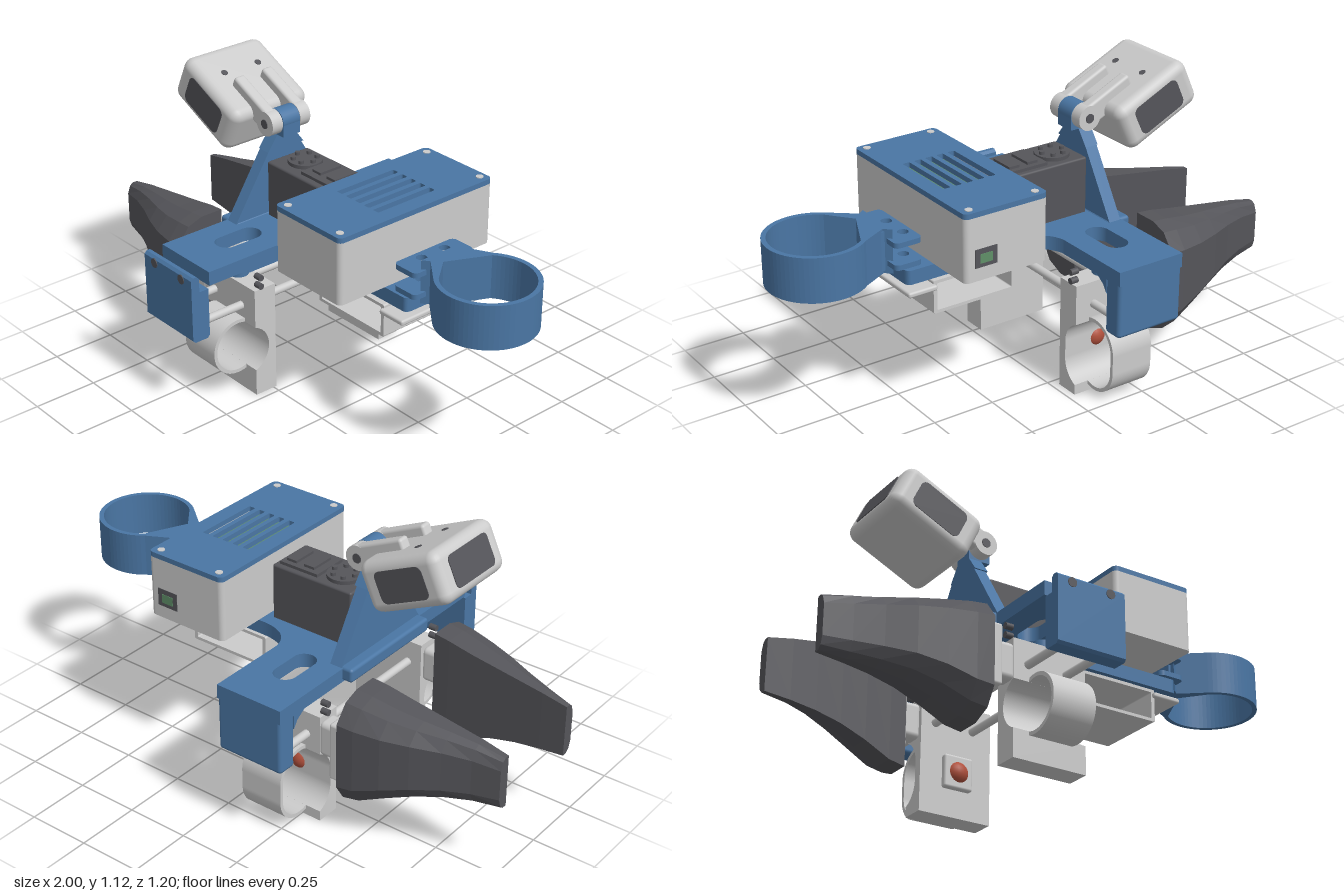
import * as THREE from 'three';
import { RoundedBoxGeometry } from 'three/addons/geometries/RoundedBoxGeometry.js';

const mat = (color) => new THREE.MeshStandardMaterial({ color });
const grey = mat(0xcccccc), blue = mat(0x4a76a4), dark = mat(0x55555a), green = mat(0x5f8f68), red = mat(0xb0503c);
const MID = -0.023; // mirror plane of the paired parts

function add(parent, name, geo, material) {
  const m = new THREE.Mesh(geo, material);
  m.name = name;
  parent.add(m);
  return m;
}
// Box given by its limits; r rounds the edges
function box(parent, name, material, [x0, x1], [y0, y1], [z0, z1], r = 0) {
  const s = [x1 - x0, y1 - y0, z1 - z0];
  const g = r ? new RoundedBoxGeometry(...s, 3, r) : new THREE.BoxGeometry(...s);
  g.translate((x0 + x1) / 2, (y0 + y1) / 2, (z0 + z1) / 2);
  return add(parent, name, g, material);
}
function cyl(parent, name, material, r, len, axis, x, y, z) {
  const g = new THREE.CylinderGeometry(r, r, len, 28);
  if (axis === 'x') g.rotateZ(Math.PI / 2);
  if (axis === 'z') g.rotateX(Math.PI / 2);
  g.translate(x, y, z);
  return add(parent, name, g, material);
}
const solid = (shape, depth) => new THREE.ExtrudeGeometry(shape, { depth, bevelEnabled: false, curveSegments: 24 });
// Outline in x,z raised from y0 to y1
const slab = (shape, y0, y1) => solid(shape, y1 - y0).rotateX(Math.PI / 2).translate(0, y1, 0);
// Outline in z,y stretched from x0 to x1
const across = (shape, x0, x1) => solid(shape, x1 - x0).rotateY(-Math.PI / 2).translate(x1, 0, 0);
const poly = (pts) => new THREE.Shape(pts.map((p) => new THREE.Vector2(...p)));

// Rounded rectangle; with r at half the width it is a slot
function rrect(x0, x1, y0, y1, r, T = THREE.Shape) {
  const s = new T(), h = Math.PI / 2;
  s.absarc(x1 - r, y1 - r, r, 0, h);
  s.absarc(x0 + r, y1 - r, r, h, 2 * h);
  s.absarc(x0 + r, y0 + r, r, 2 * h, 3 * h);
  s.absarc(x1 - r, y0 + r, r, 3 * h, 4 * h);
  s.closePath();
  return s;
}

function frame(g) {
  // T-shaped deck with two slots
  const s = new THREE.Shape();
  s.moveTo(-0.33, -0.6);
  s.lineTo(-0.05, -0.6);
  s.lineTo(-0.05, -0.27);
  s.quadraticCurveTo(-0.03, -0.17, 0.1, -0.17);
  s.lineTo(0.53, -0.17);
  s.quadraticCurveTo(0.55, -0.17, 0.55, -0.14);
  s.lineTo(0.55, 0.09);
  s.quadraticCurveTo(0.55, 0.12, 0.53, 0.12);
  s.lineTo(0.1, 0.12);
  s.quadraticCurveTo(-0.03, 0.12, -0.05, 0.22);
  s.lineTo(-0.05, 0.52);
  s.lineTo(-0.33, 0.52);
  s.holes.push(rrect(-0.235, -0.145, -0.44, -0.245, 0.044, THREE.Path), rrect(-0.235, -0.145, 0.18, 0.375, 0.044, THREE.Path));
  add(g, 'deck', slab(s, 0.535, 0.59), blue);
  box(g, 'mastFoot', blue, [-0.37, -0.27], [0.54, 0.595], [-0.25, 0.22], 0.012);
  // End blocks that hold the rods
  box(g, 'backEndBlock', blue, [-0.33, -0.05], [0.325, 0.59], [-0.6, -0.52], 0.015);
  add(g, 'endFillet', across(poly([[-0.525, 0.54], [-0.525, 0.48], [-0.505, 0.51], [-0.46, 0.54]]), -0.33, -0.05), blue);
  add(g, 'frontEndBlock', across(poly([[0.525, 0.335], [0.535, 0.325], [0.59, 0.325], [0.6, 0.335], [0.6, 0.58],
    [0.59, 0.59], [0.575, 0.59], [0.565, 0.58], [0.565, 0.525], [0.525, 0.525]]), -0.33, -0.05), blue);
  for (const x of [-0.27, -0.11]) {
    cyl(g, 'rod', grey, 0.016, 1.06, 'z', x, 0.36, 0);
    cyl(g, 'blockScrew', dark, 0.018, 0.005, 'z', x, 0.565, 0.6);
  }
  // Mast with its hinge knuckle
  add(g, 'mast', across(poly([[0.22, 0.59], [0.02, 0.9], [0.02, 0.96], [-0.06, 0.96], [-0.06, 0.9], [-0.25, 0.59]]), -0.325, -0.275), blue);
  box(g, 'mastHead', blue, [-0.325, -0.235], [0.9, 0.96], [-0.06, 0.02]);
  add(g, 'mastFlare', across(poly([[0.065, 0.84], [0.02, 0.9], [-0.06, 0.9], [-0.105, 0.84]]), -0.325, -0.27), blue);
  cyl(g, 'knuckle', blue, 0.046, 0.08, 'z', -0.28, 0.955, -0.02);
}

function camera(g) {
  const c = new THREE.Group();
  c.name = 'camera';
  c.position.set(-0.535, 0.972, -0.02);
  c.rotation.z = -0.436;
  g.add(c);
  box(c, 'cameraBody', grey, [-0.175, 0.175], [-0.097, 0.097], [-0.18, 0.18], 0.04);
  add(c, 'sideWindow', solid(rrect(-0.105, 0.105, -0.06, 0.06, 0.025), 0.364).translate(0, 0, -0.182), dark);
  add(c, 'frontWindow', across(rrect(-0.115, 0.115, -0.06, 0.06, 0.02), -0.178, -0.16), dark);
  for (const s of [-1, 1]) {
    const z = s * 0.066;
    box(c, 'hingeArm', grey, [0.02, 0.237], [0.05, 0.135], [z - 0.024, z + 0.024], 0.012);
    cyl(c, 'hingeEar', grey, 0.048, 0.048, 'z', 0.237, 0.09, z);
    cyl(c, 'cameraScrew', dark, 0.013, 0.006, 'y', -0.04, 0.096, s * 0.08);
  }
  cyl(c, 'hingePin', dark, 0.018, 0.186, 'z', 0.237, 0.09, 0);
}

function servo(g) {
  box(g, 'servoBody', dark, [-0.265, 0.09], [0.5, 0.81], [-0.12, 0.075], 0.008);
  cyl(g, 'servoDisc', dark, 0.066, 0.018, 'y', -0.17, 0.815, -0.03);
  for (let i = 0; i < 6; i++) {
    const a = i * Math.PI / 3;
    cyl(g, 'discScrew', dark, 0.01, 0.012, 'y', -0.17 + 0.045 * Math.cos(a), 0.83, -0.03 + 0.045 * Math.sin(a));
  }
  box(g, 'servoCover', dark, [-0.1, 0.07], [0.8, 0.822], [-0.1, 0.05]);
  for (const x of [-0.07, 0.01]) box(g, 'coverRib', dark, [x, x + 0.045], [0.82, 0.832], [-0.08, 0.02]);
  // Drive plate and links under the deck
  cyl(g, 'drivePlate', grey, 0.11, 0.02, 'y', -0.18, 0.485, MID);
}

function electronics(g) {
  const body = rrect(0.105, 0.45, -0.385, 0.34, 0.02);
  body.holes.push(rrect(0.125, 0.43, -0.365, 0.32, 0.015, THREE.Path));
  add(g, 'caseWalls', slab(body, 0.6, 0.84), grey);
  box(g, 'caseFloor', grey, [0.12, 0.435], [0.6, 0.62], [-0.37, 0.325]);
  box(g, 'circuitBoard', green, [0.125, 0.43], [0.79, 0.8], [-0.365, 0.32]);
  const lid = rrect(0.105, 0.45, -0.385, 0.34, 0.02);
  for (let i = 0; i < 5; i++) {
    const x = 0.183 + i * 0.0475;
    lid.holes.push(rrect(x - 0.014, x + 0.014, -0.16, 0.11, 0.006, THREE.Path));
  }
  add(g, 'caseLid', slab(lid, 0.84, 0.86), blue);
  for (const x of [0.14, 0.415]) for (const z of [-0.355, 0.31]) cyl(g, 'lidScrew', grey, 0.014, 0.004, 'y', x, 0.861, z);
  box(g, 'port', dark, [0.32, 0.41], [0.65, 0.72], [-0.387, -0.37]);
  box(g, 'portBoard', green, [0.34, 0.39], [0.665, 0.7], [-0.389, -0.375]);
  box(g, 'caseFoot', blue, [0.2, 0.36], [0.585, 0.605], [-0.12, 0.07]);

  // Open tray below the deck
  const t = rrect(0.09, 0.44, 0.39, 0.52, 0.006);
  t.holes.push(rrect(0.105, 0.425, 0.402, 0.508, 0.004, THREE.Path));
  add(g, 'tray', solid(t, 0.29).translate(0, 0, -0.165), grey);
  box(g, 'trayTab', grey, [0.43, 0.55], [0.487, 0.508], [-0.18, 0.14], 0.008);
  box(g, 'trayHanger', grey, [0.2, 0.36], [0.51, 0.54], [-0.14, 0.1]);
}

function cuff(g) {
  const s = poly([[0.575, -0.12], [0.6, -0.095]]), a = 2.27;
  s.absarc(0.815, -0.003, 0.185, -a, a);
  s.lineTo(0.6, 0.06);
  s.lineTo(0.575, 0.08);
  const h = new THREE.Path();
  h.moveTo(0.632, -0.05);
  h.absarc(0.815, -0.003, 0.167, -a, a);
  h.lineTo(0.632, 0.03);
  s.holes.push(h);
  add(g, 'wristRing', slab(s, 0.57, 0.74), blue);
  // Two-prong clamp plate
  for (const y of [0.6, 0.685]) {
    const p = rrect(0.48, 0.59, -0.165, 0.12, 0.02);
    for (const z of [-0.09, 0.02]) p.holes.push(rrect(0.495, 0.535, z - 0.02, z + 0.02, 0.0195, THREE.Path));
    add(g, 'clampPlate', slab(p, y, y + 0.02), blue);
  }
  box(g, 'clampNeck', blue, [0.565, 0.61], [0.58, 0.73], [-0.1, 0.06]);
}

// Tapered grip lofted through eight-sided sections
function gripGeometry() {
  // x, bottom, top, inner depth, outer depth
  const rows = [[-1, 0.28, 0.485, 0.187, 0.232], [-0.9, 0.27, 0.505, 0.185, 0.258], [-0.8, 0.255, 0.52, 0.185, 0.295],
    [-0.7, 0.23, 0.535, 0.185, 0.34], [-0.6, 0.19, 0.55, 0.185, 0.375], [-0.5, 0.14, 0.568, 0.187, 0.395], [-0.435, 0.128, 0.575, 0.19, 0.4]];
  const sect = [[0, 0], [1, 0], [1, 0.45], [0.95, 0.75], [0.8, 1], [0.22, 1], [0.07, 0.8], [0, 0.45]];
  const pos = [], idx = [], n = sect.length;
  for (const [x, b, t, zi, zo] of rows) for (const [u, v] of sect) pos.push(x, b + u * (t - b), zi + v * (zo - zi));
  for (let r = 0; r < rows.length - 1; r++) for (let i = 0; i < n; i++) {
    const a = r * n + i, b = r * n + (i + 1) % n;
    idx.push(a, a + n, b, b, a + n, b + n);
  }
  const last = (rows.length - 1) * n;
  for (let i = 1; i < n - 1; i++) idx.push(0, i, i + 1, last, last + i + 1, last + i);
  const g = new THREE.BufferGeometry();
  g.setAttribute('position', new THREE.Float32BufferAttribute(pos, 3));
  g.setIndex(idx);
  g.computeVertexNormals();
  return g;
}

// One finger unit; cy and len shape its loop
function fingerUnit(g, side, cy, len, r) {
  const u = new THREE.Group();
  u.name = side > 0 ? 'frontFingerUnit' : 'backFingerUnit';
  u.position.z = MID;
  u.scale.z = side;
  g.add(u);
  const gripMat = mat(0x55555a);
  gripMat.side = THREE.DoubleSide;
  gripMat.flatShading = true;
  add(u, 'grip', gripGeometry(), gripMat);
  box(u, 'gripFlange', grey, [-0.435, -0.395], [0.24, 0.47], [0.25, 0.39], 0.01);
  box(u, 'gripNeck', grey, [-0.4, -0.32], [0.29, 0.43], [0.275, 0.355], 0.02);
  // Slider column with a curved bite for the finger
  const cz = 0.39, ri = r - 0.014, dz = 0.355 - cz;
  const a = Math.PI - Math.acos(-dz / ri);
  const s = poly([[0.26, 0.005], [0.355, 0.005]]);
  s.absarc(cz, cy - len / 2, ri, 2 * Math.PI - a, Math.PI, true);
  s.absarc(cz, cy + len / 2, ri, Math.PI, a, true);
  s.lineTo(0.355, 0.45);
  s.lineTo(0.26, 0.45);
  add(u, 'sliderColumn', across(s, -0.33, -0.03), grey);
  // Finger loop
  const loop = rrect(cz - r, cz + r, cy - len / 2 - r, cy + len / 2 + r, r - 0.0005);
  loop.holes.push(rrect(cz - ri, cz + ri, cy - len / 2 - ri, cy + len / 2 + ri, ri - 0.0005, THREE.Path));
  add(u, 'fingerLoop', across(loop, -0.265, -0.09), grey);
  // Drive link with its end boss
  box(u, 'driveLink', blue, [-0.21, -0.15], [0.453, 0.472], [0.08, 0.33]);
  cyl(u, 'linkBoss', blue, 0.038, 0.035, 'y', -0.18, 0.464, 0.31);
  for (const x of [-0.335, -0.035]) for (const y of [0.465, 0.5]) cyl(u, 'sideScrew', dark, 0.012, 0.03, 'x', x, y, 0.33);
}

export function createModel() {
  const g = new THREE.Group();
  g.name = 'handController';
  frame(g);
  camera(g);
  servo(g);
  electronics(g);
  cuff(g);
  fingerUnit(g, 1, 0.205, 0, 0.112);
  fingerUnit(g, -1, 0.17, 0.07, 0.11);
  // Sensor on the back finger unit
  add(g, 'sensorButton', new THREE.SphereGeometry(0.048, 24, 16).translate(-0.18, 0.175, -0.282), red);
  box(g, 'sensorHousing', grey, [-0.24, -0.12], [0.11, 0.24], [-0.285, -0.255], 0.01);
  return g;
}
